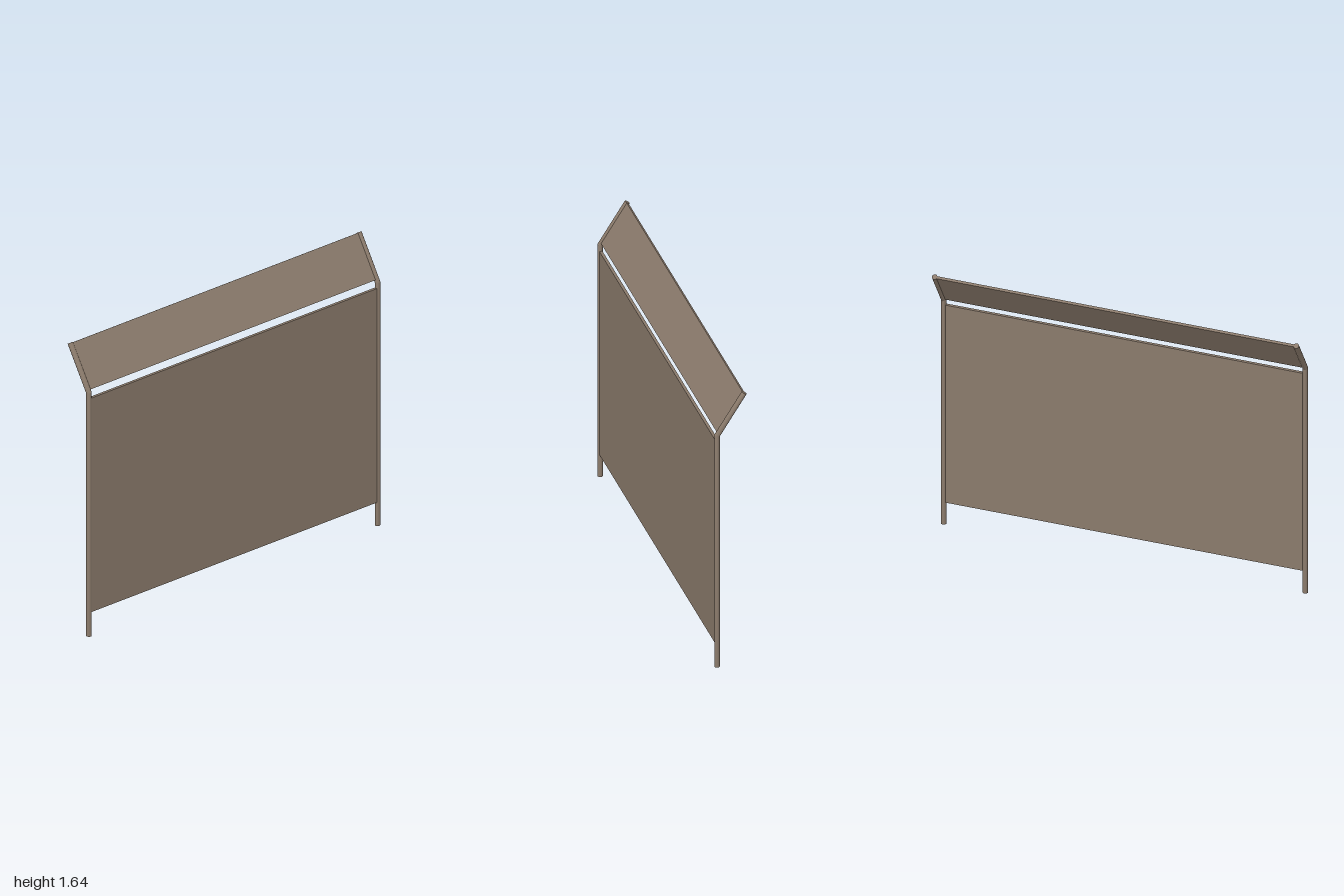
import * as THREE from 'three';
import { toCreasedNormals } from 'three/addons/utils/BufferGeometryUtils.js';

const BEND = new THREE.Vector2(0.07, 1.396);  // where the post kinks
const TIP = new THREE.Vector2(-0.077, 1.628); // end of the slanted arm
const ARM = TIP.clone().sub(BEND);
const SLANT = Math.atan2(-ARM.x, ARM.y);      // tilt from vertical
const RADIUS = 0.0145;
const POST_Z = 0.984;

// Round tube with three rings: foot, mitred bend and tip
function postGeometry() {
  const geo = new THREE.CylinderGeometry(RADIUS, RADIUS, 2, 16, 2);
  const rings = [
    { x: BEND.x, y: 0, ax: 1, ay: 0 },
    { x: BEND.x, y: BEND.y, ax: 1, ay: Math.tan(SLANT / 2) },
    { x: TIP.x, y: TIP.y, ax: Math.cos(SLANT), ay: Math.sin(SLANT) },
  ];
  const p = geo.attributes.position;
  for (let i = 0; i < p.count; i++) {
    const r = rings[Math.round(p.getY(i)) + 1];
    const u = p.getX(i);
    p.setXYZ(i, r.x + u * r.ax, r.y + u * r.ay, p.getZ(i));
  }
  return toCreasedNormals(geo, 0.5);
}

export function createModel() {
  const model = new THREE.Group();
  model.name = 'barrierPanel';
  const brown = new THREE.MeshStandardMaterial({ color: 0x8b7b6c });
  brown.name = 'warm brown';

  const add = (name, geo) => {
    const mesh = new THREE.Mesh(geo, brown);
    mesh.name = name;
    model.add(mesh);
    return mesh;
  };

  // Bent posts at both ends
  const post = postGeometry();
  add('frontPost', post).position.z = POST_Z;
  add('backPost', post).position.z = -POST_Z;

  // Upright sheet between the posts
  add('mainPanel', new THREE.BoxGeometry(0.016, 1.23, 1.95)).position.set(BEND.x, 0.75, 0);

  // Slanted sheet along the arms
  const length = ARM.length();
  const upper = add('slantedPanel', new THREE.BoxGeometry(0.014, length - 0.015, 1.95));
  const mid = BEND.clone().addScaledVector(ARM, 0.52);
  upper.position.set(mid.x, mid.y, 0);
  upper.rotation.z = SLANT;

  return model;
}
